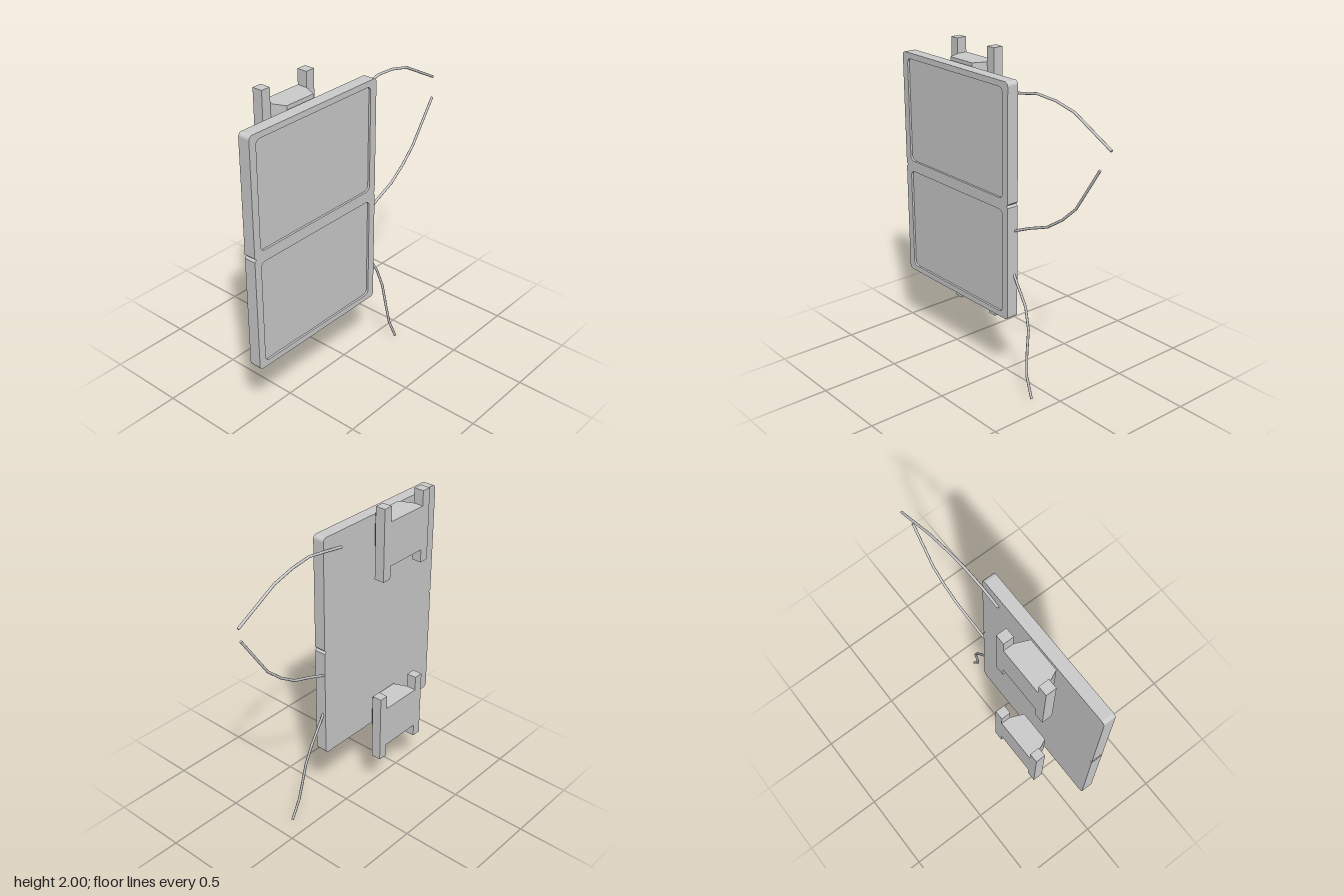
import * as THREE from 'three';

const material = new THREE.MeshStandardMaterial({ color: 0xcccccc, flatShading: true });
const wireMaterial = new THREE.MeshStandardMaterial({ color: 0xcccccc });

function addMesh(parent, name, geometry, mat = material) {
  const mesh = new THREE.Mesh(geometry, mat);
  mesh.name = name;
  parent.add(mesh);
  return mesh;
}

function roundedRect(path, x0, y0, x1, y1, r) {
  path.absarc(x1 - r, y0 + r, r, -Math.PI / 2, 0);
  path.absarc(x1 - r, y1 - r, r, 0, Math.PI / 2);
  path.absarc(x0 + r, y1 - r, r, Math.PI / 2, Math.PI);
  path.absarc(x0 + r, y0 + r, r, Math.PI, Math.PI * 1.5);
  path.closePath();
  return path;
}

// Outline of the two joined panels, with a small notch on each side at the seam
function panelOutline() {
  const x0 = -0.842, x1 = 0.147, y0 = 0.44, y1 = 1.89, seam = 1.165, r = 0.025, n = 0.012;
  const s = new THREE.Shape();
  s.absarc(x1 - r, y0 + r, r, -Math.PI / 2, 0);
  s.lineTo(x1, seam - n);
  s.lineTo(x1 - n, seam);
  s.lineTo(x1, seam + n);
  s.absarc(x1 - r, y1 - r, r, 0, Math.PI / 2);
  s.absarc(x0 + r, y1 - r, r, Math.PI / 2, Math.PI);
  s.lineTo(x0, seam + n);
  s.lineTo(x0 + n, seam);
  s.lineTo(x0, seam - n);
  s.absarc(x0 + r, y0 + r, r, Math.PI, Math.PI * 1.5);
  s.closePath();
  return s;
}

function createPanels() {
  const group = new THREE.Group();
  group.name = 'panels';
  const options = { bevelEnabled: false, curveSegments: 5 };

  // Solid back slab
  addMesh(group, 'panelBack', new THREE.ExtrudeGeometry(panelOutline(), { ...options, depth: 0.062 }))
    .position.z = 0.035;

  // Raised frame around the two recessed faces
  const frame = panelOutline();
  for (const y of [0.476, 1.2]) {
    frame.holes.push(roundedRect(new THREE.Path(), -0.795, y, 0.098, y + 0.654, 0.03));
  }
  addMesh(group, 'panelFrame', new THREE.ExtrudeGeometry(frame, { ...options, depth: 0.013 }))
    .position.z = 0.097;
  return group;
}

// Bracket: two upright rails joined by a web with a tapered boss in front
function createBracket(y) {
  const group = new THREE.Group();
  group.name = 'bracket';
  const zBack = -0.125, zMid = -0.06, zFront = 0.023;
  for (const [name, x] of [['leftRail', -0.207], ['rightRail', -0.545]]) {
    addMesh(group, name, new THREE.BoxGeometry(0.06, 0.452, zMid - zBack))
      .position.set(x, 0.226, (zBack + zMid) / 2);
  }
  addMesh(group, 'web', new THREE.BoxGeometry(0.278, 0.277, zMid - zBack))
    .position.set(-0.376, 0.2205, (zBack + zMid) / 2);

  // Boss: a box whose front face is narrowed and whose lower front edge is lifted
  const boss = new THREE.BoxGeometry(0.278, 0.277, zFront - zMid);
  const p = boss.attributes.position;
  for (let i = 0; i < p.count; i++) {
    if (p.getZ(i) > 0) {
      p.setX(i, p.getX(i) * 0.74);
      if (p.getY(i) < 0) p.setY(i, p.getY(i) + 0.073);
    }
  }
  boss.computeVertexNormals();
  addMesh(group, 'boss', boss).position.set(-0.376, 0.2205, (zMid + zFront) / 2);
  group.position.y = y;
  return group;
}

// Straight runs between points, sampled exactly at each bend
class BentPath extends THREE.Curve {
  constructor(points) {
    super();
    this.points = points.map((p) => new THREE.Vector3(...p));
  }
  getPoint(t, target = new THREE.Vector3()) {
    const f = t * (this.points.length - 1);
    const i = Math.min(Math.floor(f + 1e-6), this.points.length - 2);
    return target.lerpVectors(this.points[i], this.points[i + 1], f - i);
  }
  getPointAt(u, target) {
    return this.getPoint(u, target);
  }
  // Average of the neighbouring directions gives a clean mitre
  getTangentAt(u, target = new THREE.Vector3()) {
    const last = this.points.length - 1, i = Math.round(u * last);
    const here = this.points[i];
    target.set(0, 0, 0);
    if (i > 0) target.add(here.clone().sub(this.points[i - 1]).normalize());
    if (i < last) target.add(this.points[i + 1].clone().sub(here).normalize());
    return target.normalize();
  }
}

function createWire(name, points) {
  const group = new THREE.Group();
  group.name = name;
  const path = new BentPath(points), radius = 0.008;
  addMesh(group, 'strand', new THREE.TubeGeometry(path, points.length - 1, radius, 8), wireMaterial);
  for (const [u, sign] of [[0, -1], [1, 1]]) {
    const cap = addMesh(group, 'wireEnd', new THREE.CircleGeometry(radius, 8));
    cap.position.copy(path.getPoint(u));
    const outward = path.getTangentAt(u).multiplyScalar(sign);
    cap.quaternion.setFromUnitVectors(new THREE.Vector3(0, 0, 1), outward);
  }
  return group;
}

export function createModel() {
  const model = new THREE.Group();
  model.name = 'hingedPanelWithWires';
  model.add(createPanels());
  for (const y of [0.286, 1.548]) model.add(createBracket(y));

  model.add(createWire('upperWire', [
    [0.005, 1.79, 0.031], [0.145, 1.816, 0.026], [0.28, 1.84, 0.016],
    [0.42, 1.828, 0.006], [0.56, 1.794, 0], [0.835, 1.648, -0.006],
  ]));
  model.add(createWire('middleWire', [
    [0.13, 0.995, 0.053], [0.26, 1.05, 0.042], [0.4, 1.1, 0.034],
    [0.515, 1.177, 0.028], [0.615, 1.27, 0.025], [0.79, 1.538, 0.029],
  ]));
  model.add(createWire('lowerWire', [
    [0.135, 0.735, 0.057], [0.248, 0.55, 0.057], [0.29, 0.42, 0.07],
    [0.303, 0.27, 0.092], [0.32, 0.14, 0.108], [0.375, 0.008, 0.116],
  ]));
  return model;
}
